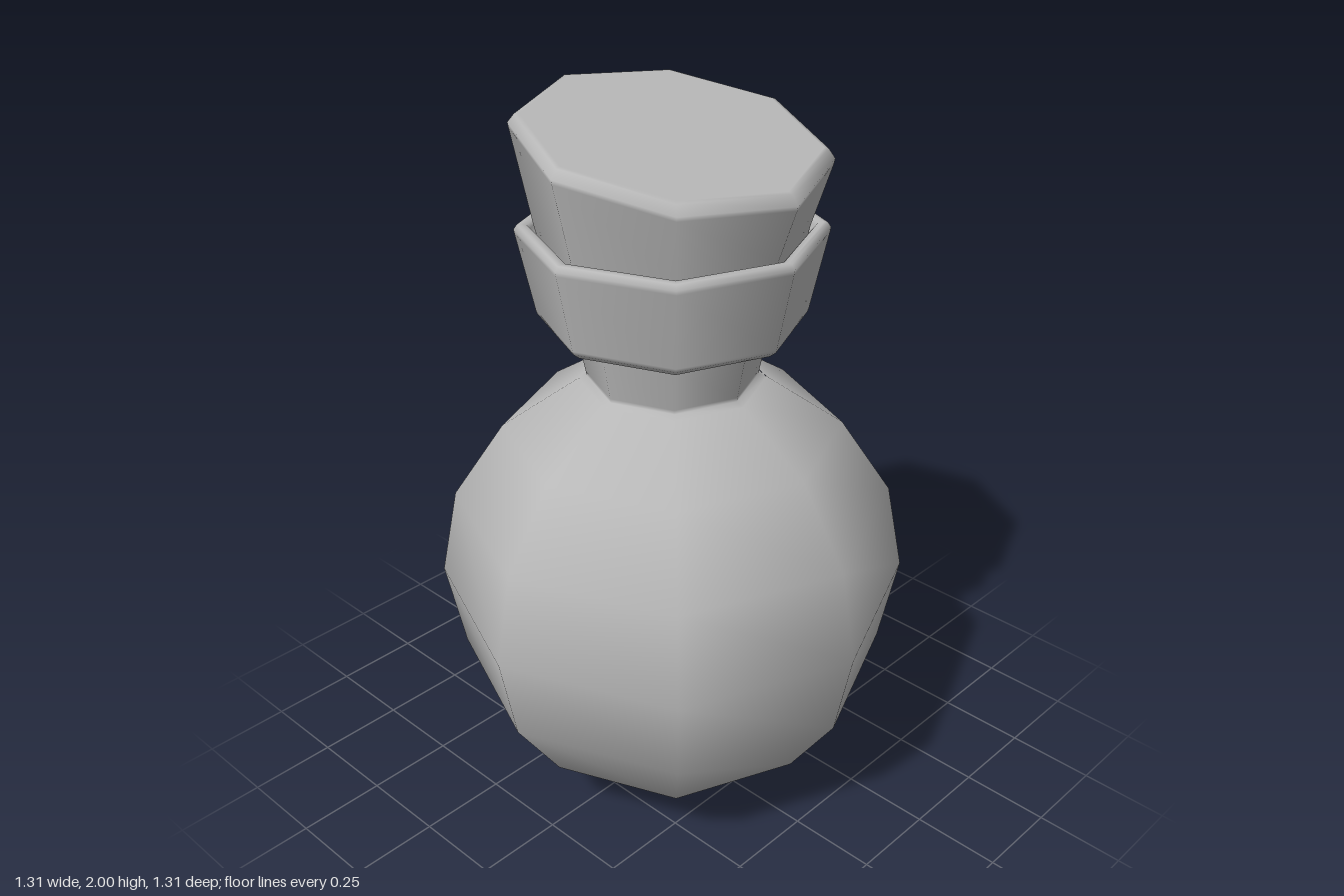
import * as THREE from 'three';

const SIDES = 8;

export function createModel() {
  const group = new THREE.Group();
  group.name = 'stopperedFlask';
  const grey = new THREE.MeshStandardMaterial({ name: 'plain grey', color: 0xb8b8b8 });

  const add = (name, geometry) => {
    const mesh = new THREE.Mesh(geometry, grey);
    mesh.name = name;
    group.add(mesh);
    return mesh;
  };
  // Eight-sided turned part from [radius, height] pairs, bottom to top
  const turn = (points) =>
    new THREE.LatheGeometry(points.map(([r, y]) => new THREE.Vector2(r, y)), SIDES);

  // Round belly, open where the neck joins
  const R = 0.655;
  const belly = new THREE.SphereGeometry(R, SIDES, 7, 0, Math.PI * 2, Math.PI / 8, Math.PI * 7 / 8);
  add('belly', belly.translate(0, R, 0));

  // Flaring neck
  add('neck', turn([[0.252, 1.258], [0.23, 1.268], [0.232, 1.28], [0.255, 1.4], [0.256, 1.405]]));

  // Thin ring beneath the collar
  add('neckRing', turn([
    [0.22, 1.405], [0.268, 1.405], [0.274, 1.409], [0.274, 1.435], [0.27, 1.44],
  ]));

  // Collar with bevelled edges and a shallow inner lip
  add('collar', turn([
    [0.2, 1.43], [0.325, 1.43], [0.335, 1.432], [0.354, 1.448], [0.357, 1.458],
    [0.402, 1.67], [0.404, 1.682], [0.395, 1.695], [0.385, 1.696],
    [0.37, 1.694], [0.362, 1.685], [0.345, 1.65], [0.2, 1.65],
  ]));

  // Stopper, its bevelled top sheared to a slant
  const mid = 1.936;
  const slope = -0.17;
  const stopper = turn([
    [0.34, 1.64], [0.352, 1.69], [0.403, mid - 0.037], [0.405, mid - 0.025],
    [0.388, mid - 0.002], [0.376, mid], [0, mid],
  ]);
  const p = stopper.attributes.position;
  const n = stopper.attributes.normal;
  const v = new THREE.Vector3();
  for (let i = 0; i < p.count; i++) {
    if (p.getY(i) < 1.8) continue;
    p.setY(i, p.getY(i) + slope * p.getX(i));
    v.fromBufferAttribute(n, i);
    v.x -= slope * v.y;
    v.normalize();
    n.setXYZ(i, v.x, v.y, v.z);
  }
  add('stopper', stopper);

  return group;
}
